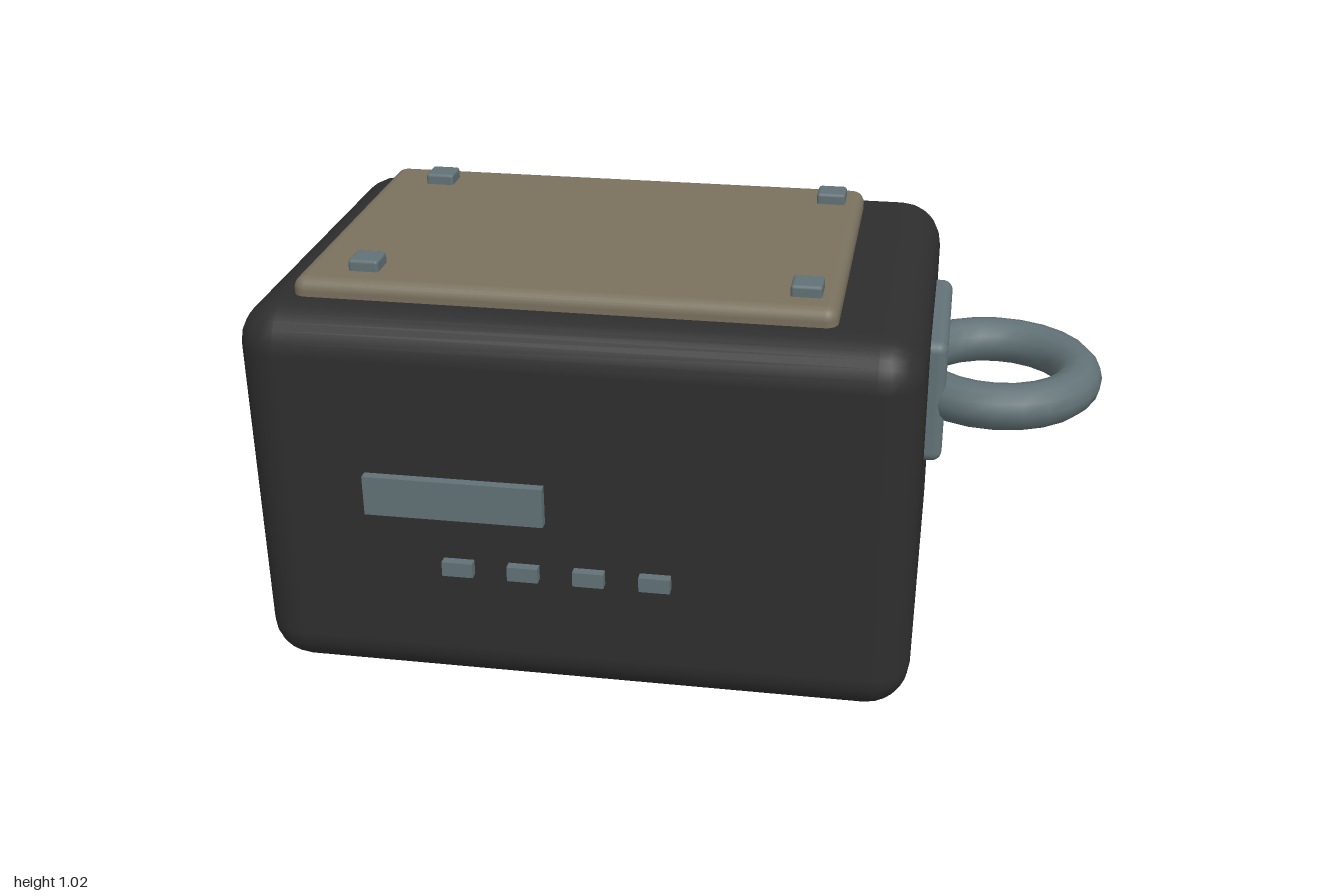
import * as THREE from 'three';
import { RoundedBoxGeometry } from 'three/addons/geometries/RoundedBoxGeometry.js';

const material = (name, color) => {
  const m = new THREE.MeshStandardMaterial({ color });
  m.name = name;
  return m;
};

export function createModel() {
  const model = new THREE.Group();
  model.name = 'box';
  const casing = material('charcoal', 0x2e2e2e);
  const tan = material('tan', 0x7a715e);
  const metal = material('blueGrey', 0x627276);

  // Box given by its [min, max] range on each axis, rounded when radius > 0
  function box(name, mat, [x0, x1], [y0, y1], [z0, z1], radius = 0, segments = 2) {
    const w = x1 - x0, h = y1 - y0, d = z1 - z0;
    const geometry = radius
      ? new RoundedBoxGeometry(w, h, d, segments, radius)
      : new THREE.BoxGeometry(w, h, d);
    const mesh = new THREE.Mesh(geometry, mat);
    mesh.name = name;
    mesh.position.set((x0 + x1) / 2, (y0 + y1) / 2, (z0 + z1) / 2);
    model.add(mesh);
    return mesh;
  }

  // Main casing and top panel
  box('body', casing, [-1, 0.583], [0, 0.952], [-0.547, 0.523], 0.105, 3);
  box('topPanel', tan, [-0.88, 0.38], [0.91, 0.995], [-0.432, 0.408], 0.03, 3);

  // Corner studs on the top panel
  for (const x of [-0.727, 0.302])
    for (const z of [0.305, -0.328])
      box('stud', metal, [x - 0.036, x + 0.036], [0.98, 1.022], [z - 0.036, z + 0.036], 0.008);

  // Front display and row of buttons
  box('display', metal, [-0.7, -0.273], [0.468, 0.567], [0.5, 0.546]);
  for (let i = 0; i < 4; i++) {
    const x = -0.485 + i * 0.157;
    box('button', metal, [x - 0.037, x + 0.037], [0.317, 0.354], [0.5, 0.546]);
  }

  // Side plate with a carrying ring
  box('handlePlate', metal, [0.545, 0.624], [0.53, 0.841], [-0.225, 0.206], 0.025, 3);
  const ring = new THREE.Mesh(new THREE.TorusGeometry(0.2, 0.056, 12, 24), metal);
  ring.name = 'handleRing';
  ring.rotation.x = Math.PI / 2;
  ring.position.set(0.742, 0.685, -0.012);
  model.add(ring);

  return model;
}
